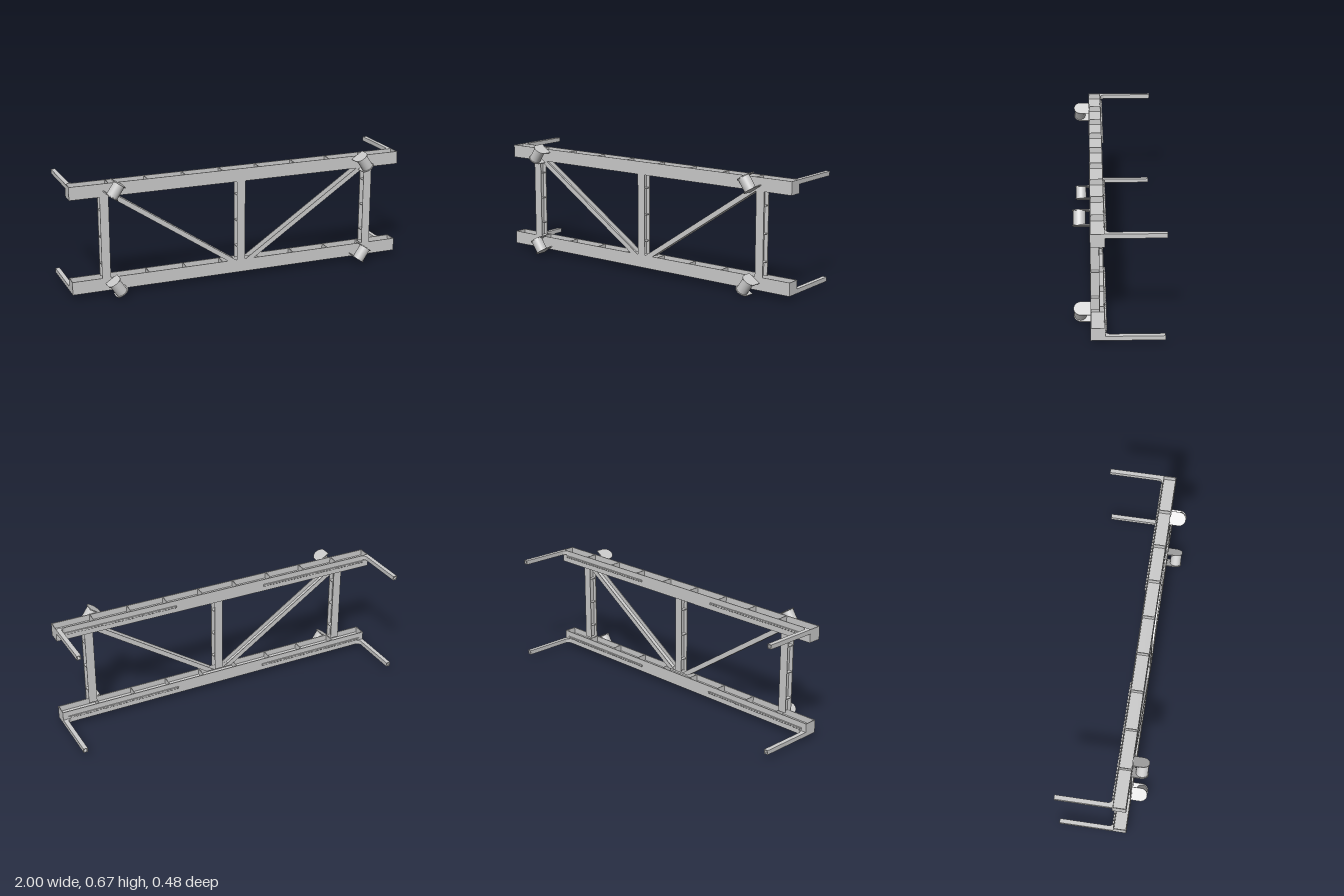
import * as THREE from 'three';

const grey = new THREE.MeshStandardMaterial({ color: 0xcccccc, side: THREE.DoubleSide });
const MID = 0.34; // height of the horizontal mirror plane

function add(parent, name, geometry) {
  const mesh = new THREE.Mesh(geometry, grey);
  mesh.name = name;
  parent.add(mesh);
  return mesh;
}

// Box given by its limits on each axis, in any order
function box(parent, name, x0, x1, y0, y1, z0, z1) {
  const g = new THREE.BoxGeometry(Math.abs(x1 - x0), Math.abs(y1 - y0), Math.abs(z1 - z0));
  g.translate((x0 + x1) / 2, (y0 + y1) / 2, (z0 + z1) / 2);
  return add(parent, name, g);
}

// Flat outline in x and y, extruded between two depths
function slab(parent, name, points, z0, z1) {
  const shape = new THREE.Shape(points.map(([x, y]) => new THREE.Vector2(x, y)));
  const g = new THREE.ExtrudeGeometry(shape, { depth: z1 - z0, bevelEnabled: false });
  return add(parent, name, g.translate(0, 0, z0));
}

function part(parent, name) {
  const g = new THREE.Group();
  g.name = name;
  parent.add(g);
  return g;
}

// Long H-section beam with evenly spaced stiffeners
function beam(parent, sy) {
  const g = part(parent, 'mainBeam');
  const yIn = MID + sy * 0.235, yOut = MID + sy * 0.31, yc = MID + sy * 0.2725;
  box(g, 'frontFlange', -1, 1, yIn, yOut, 0.145, 0.15);
  box(g, 'backFlange', -1, 1, yIn, yOut, 0.073, 0.078);
  box(g, 'web', -1, 1, yc - 0.0025, yc + 0.0025, 0.078, 0.145);
  for (let i = 0; i <= 9; i++) {
    const x = -0.998 + i * (1.996 / 9);
    box(g, 'stiffener', x - 0.002, x + 0.002, yIn, yOut, 0.078, 0.145);
  }
}

// Upright H-section post
function post(parent, x) {
  const g = part(parent, 'post');
  box(g, 'frontFlange', x - 0.025, x + 0.025, 0.105, 0.575, 0.146, 0.15);
  box(g, 'backFlange', x - 0.025, x + 0.025, 0.105, 0.575, 0.1, 0.104);
  box(g, 'web', x - 0.002, x + 0.002, 0.105, 0.575, 0.104, 0.146);
  for (const y of [0.185, 0.34, 0.495]) {
    box(g, 'stiffener', x - 0.025, x + 0.025, y - 0.002, y + 0.002, 0.104, 0.146);
  }
}

// Diagonal channel, open on its upper side
function brace(parent, sx) {
  const g = part(parent, 'diagonalBrace');
  const strip = (a, b) => [[sx * (0.03 + a), 0.105], [sx * (0.03 + b), 0.105],
    [sx * (0.73 + b), 0.575], [sx * (0.73 + a), 0.575]];
  slab(g, 'frontWall', strip(0, 0.05), 0.146, 0.15);
  slab(g, 'backWall', strip(0, 0.05), 0.1, 0.104);
  slab(g, 'floor', strip(0.043, 0.05), 0.104, 0.146);
}

// Two rounded cheek plates holding a drum
function bracket(parent, sx, sy) {
  const g = part(parent, 'rollerBracket');
  g.position.set(sx * 0.755, MID + sy * 0.28, 0);
  g.rotation.z = sx * sy * 0.59;
  const outline = new THREE.Shape();
  outline.moveTo(-0.04, -0.15);
  outline.lineTo(0.04, -0.15);
  outline.lineTo(0.04, -0.2);
  outline.absarc(0, -0.2, 0.04, 0, -Math.PI, true);
  outline.closePath();
  const plate = new THREE.ExtrudeGeometry(outline, { depth: 0.005, bevelEnabled: false, curveSegments: 20 });
  plate.rotateX(-Math.PI / 2);
  for (const y of [-0.042, 0.037]) add(g, 'cheekPlate', plate).position.y = y;
  add(g, 'drum', new THREE.CylinderGeometry(0.033, 0.033, 0.074, 32)).position.z = 0.203;
}

// Square tube arm reaching back from the beam end
function arm(parent, sx, sy) {
  const g = part(parent, 'sideArm');
  const sq = (p, h) => p.moveTo(-h, -h).lineTo(h, -h).lineTo(h, h).lineTo(-h, h).closePath();
  const shape = sq(new THREE.Shape(), 0.0125);
  shape.holes.push(sq(new THREE.Path(), 0.0095));
  const tube = new THREE.ExtrudeGeometry(shape, { depth: 0.313, bevelEnabled: false });
  add(g, 'tube', tube).position.set(sx * 0.9875, MID + sy * 0.2975, -0.24);

  // Curved gusset in the inner corner
  const pts = [new THREE.Vector2(sx * 0.976, -0.073)];
  for (let i = 0; i <= 6; i++) {
    const a = i / 6 * Math.PI / 2;
    pts.push(new THREE.Vector2(sx * (0.946 + 0.03 * Math.cos(a)), -0.043 - 0.03 * Math.sin(a)));
  }
  const gusset = new THREE.ExtrudeGeometry(new THREE.Shape(pts), { depth: 0.025, bevelEnabled: false });
  gusset.rotateX(-Math.PI / 2).translate(0, MID + sy * 0.2975 - 0.0125, 0);
  add(g, 'gusset', gusset);
}

// Toothed rail on the back of the beam
function rack(parent, sx, sy) {
  const g = part(parent, 'toothedRail');
  const y0 = MID + sy * 0.267, y1 = MID + sy * 0.278;
  box(g, 'strip', sx * 0.28, sx * 0.97, y0, y1, 0.068, 0.0735);
  for (let i = 0; i < 34; i++) {
    const x = 0.28 + i * 0.0203;
    box(g, 'tooth', sx * x, sx * (x + 0.012), y0, y1, 0.064, 0.068);
  }
}

export function createModel() {
  const model = new THREE.Group();
  model.name = 'trussFrame';
  for (const x of [-0.805, 0, 0.805]) post(model, x);
  for (const sx of [-1, 1]) brace(model, sx);
  for (const sy of [-1, 1]) {
    beam(model, sy);
    for (const sx of [-1, 1]) {
      bracket(model, sx, sy);
      arm(model, sx, sy);
      rack(model, sx, sy);
    }
  }
  return model;
}
